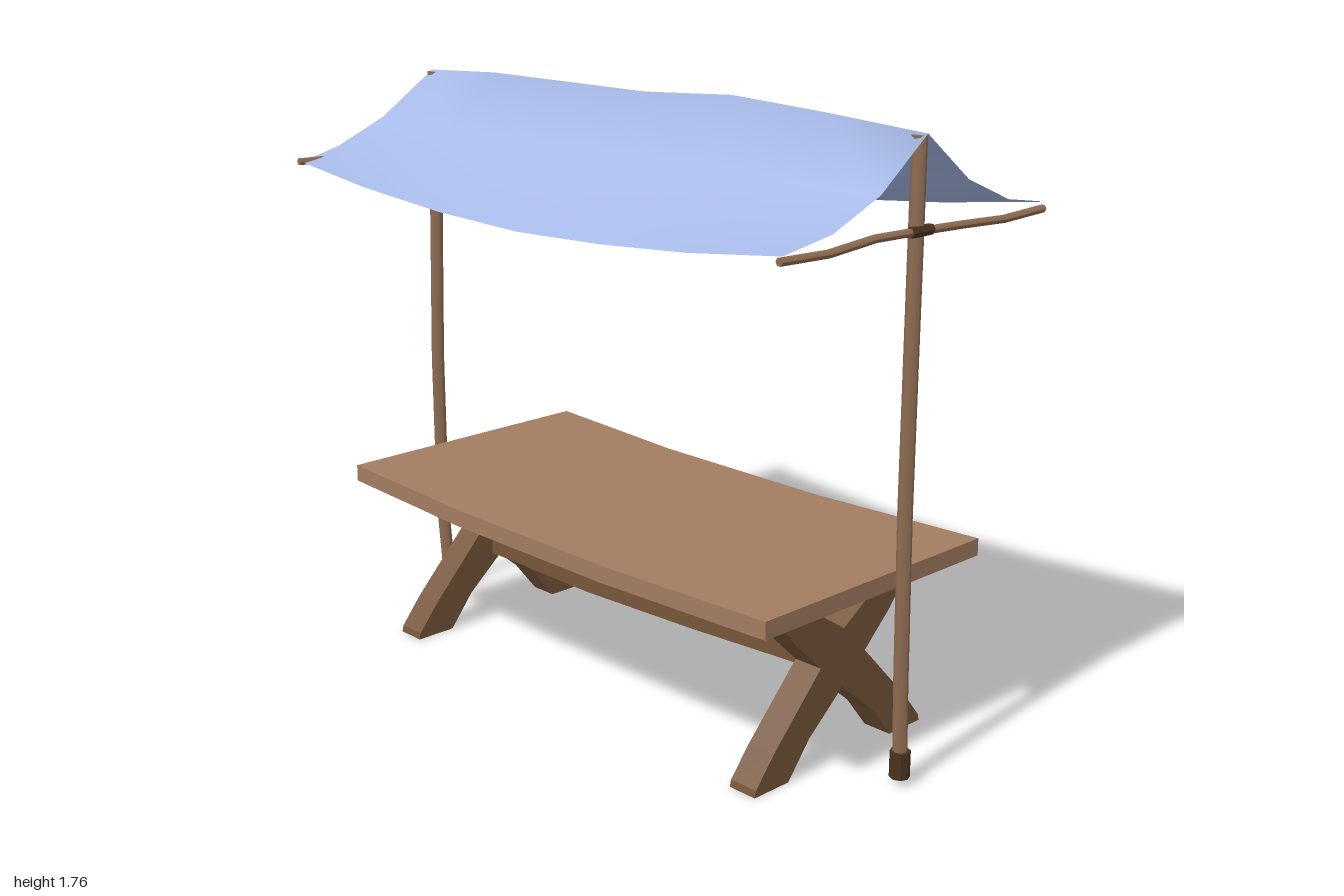
import * as THREE from 'three';

const mat = (color, extra = {}) => new THREE.MeshStandardMaterial({ color, ...extra });
const plankMat = mat(0xa27c61);
const legMat = mat(0x765639, { flatShading: true });
const poleMat = mat(0x8f6c52);
const darkMat = mat(0x4a3220, { flatShading: true });
const clothMat = mat(0xa6b8e6, { side: THREE.DoubleSide });

const V = (x, y, z) => new THREE.Vector3(x, y, z);

function add(group, name, geometry, material) {
  const mesh = new THREE.Mesh(geometry, material);
  mesh.name = name;
  group.add(mesh);
  return mesh;
}

// Capped rod: each ring of a cylinder is moved onto one point of a bent path
function rod(points, radius, sides = 8) {
  const n = points.length - 1;
  const geo = new THREE.CylinderGeometry(radius, radius, 1, sides, n);
  const dir = points[n].clone().sub(points[0]).normalize();
  const turn = new THREE.Quaternion().setFromUnitVectors(V(0, 1, 0), dir);
  const pos = geo.attributes.position;
  for (let i = 0; i < pos.count; i++) {
    const row = Math.round((pos.getY(i) + 0.5) * n);
    const p = V(pos.getX(i), 0, pos.getZ(i)).applyQuaternion(turn).add(points[row]);
    pos.setXYZ(i, p.x, p.y, p.z);
  }
  geo.computeVertexNormals();
  return geo;
}

// Plank along z, with its cross-sections placed at the given [z, centre y] pairs
function bentPlank(width, height, stations) {
  const n = stations.length - 1;
  const geo = new THREE.BoxGeometry(width, height, 1, 1, 1, n);
  const pos = geo.attributes.position;
  for (let i = 0; i < pos.count; i++) {
    const [z, y] = stations[Math.round((0.5 - pos.getZ(i)) * n)];
    pos.setY(i, pos.getY(i) + y);
    pos.setZ(i, z);
  }
  geo.computeVertexNormals();
  return geo;
}

// Crossed trestle leg, outlined from its right half
function trestle() {
  const half = [[0, 0.21], [0.13, 0.1], [0.21, 0], [0.34, 0], [0.335, 0.02], [0.27, 0.1],
    [0.09, 0.29], [0.19, 0.385], [0.285, 0.5], [0.155, 0.5], [0.1, 0.445], [0, 0.38]];
  const mirrored = half.slice(1, -1).reverse().map(([x, y]) => [-x, y]);
  const shape = new THREE.Shape([...half, ...mirrored].map(([x, y]) => new THREE.Vector2(x, y)));
  const geo = new THREE.ExtrudeGeometry(shape, { depth: 0.09, bevelEnabled: false });
  return geo.translate(0, 0, -0.045);
}

// Sagging cloth: one row per station along z, seven columns across
function canopy() {
  const rowZ = [-0.965, -0.66, -0.33, 0, 0.33, 0.66, 0.985];
  const ridge = [1.725, 1.74, 1.74, 1.74, 1.76, 1.745, 1.725];
  const hem = [1.49, 1.45, 1.42, 1.41, 1.425, 1.455, 1.497];
  const halfWidth = [0.5, 0.49, 0.475, 0.47, 0.475, 0.495, 0.51];
  const backZ = [-0.957, -1, -1, -0.965, -1, -0.965, -0.96];
  const geo = new THREE.PlaneGeometry(6, 6, 6, 6).rotateX(-Math.PI / 2);
  const pos = geo.attributes.position;
  for (let i = 0; i < pos.count; i++) {
    const col = i % 7, row = Math.floor(i / 7);
    const u = (col - 3) / 3;
    const sag = 1 - Math.abs(row - 3) / 3;
    const rise = [1, 0.43 + 0.13 * sag, 0.12 + 0.12 * sag, 0][Math.abs(col - 3)];
    pos.setXYZ(i, u * halfWidth[row], hem[row] + (ridge[row] - hem[row]) * rise,
      row === 0 ? backZ[col] : rowZ[row]);
  }
  geo.computeVertexNormals();
  return geo;
}

export function createModel() {
  const model = new THREE.Group();
  model.name = 'marketStall';

  // Table
  const table = new THREE.Group();
  table.name = 'table';
  model.add(table);
  add(table, 'tableTop',
    bentPlank(0.86, 0.05, [[0.88, 0.53], [0.28, 0.51], [-0.34, 0.51], [-0.84, 0.53]]), plankMat);
  add(table, 'stretcher',
    bentPlank(0.08, 0.072, [[0.69, 0.288], [0.23, 0.262], [-0.21, 0.245], [-0.68, 0.248]]), legMat);
  add(table, 'frontTrestle', trestle(), legMat).position.z = 0.725;
  add(table, 'backTrestle', trestle(), legMat).position.z = -0.715;

  // Frame of bent poles
  const frame = new THREE.Group();
  frame.name = 'frame';
  model.add(frame);
  add(frame, 'frontPole',
    rod([V(0, 0.05, 0.975), V(0, 0.28, 0.968), V(0, 0.75, 0.96), V(0, 1.72, 0.96)], 0.02), poleMat);
  add(frame, 'backPole',
    rod([V(0, 0.05, -0.952), V(0, 0.28, -0.977), V(0, 0.8, -0.98), V(0, 1.5, -0.957), V(0, 1.72, -0.957)], 0.02), poleMat);
  add(frame, 'ridgePole',
    rod([V(0, 1.7, 0.96), V(0, 1.72, 0.33), V(0, 1.712, -0.33), V(0, 1.7, -0.957)], 0.016), poleMat);

  // Feet, crossbars and the lashings that tie them to the poles
  const ends = [
    { side: 'front', footZ: 0.975, barZ: 0.974, ys: [1.482, 1.477, 1.49, 1.486, 1.48, 1.472, 1.478] },
    { side: 'back', footZ: -0.952, barZ: -0.955, ys: [1.492, 1.488, 1.497, 1.486, 1.49, 1.486, 1.494] },
  ];
  for (const { side, footZ, barZ, ys } of ends) {
    add(frame, side + 'Foot', rod([V(0, 0.02, footZ), V(0, 0.095, footZ)], 0.028), darkMat);
    add(frame, side + 'Crossbar', rod(ys.map((y, i) => V((i - 3) * 0.17, y, barZ)), 0.011, 6), poleMat);
    add(frame, side + 'Lashing', rod([V(-0.04, 1.486, barZ), V(0.04, 1.486, barZ)], 0.015, 6), darkMat);
  }

  // Cloth
  add(model, 'canopy', canopy(), clothMat);
  return model;
}
